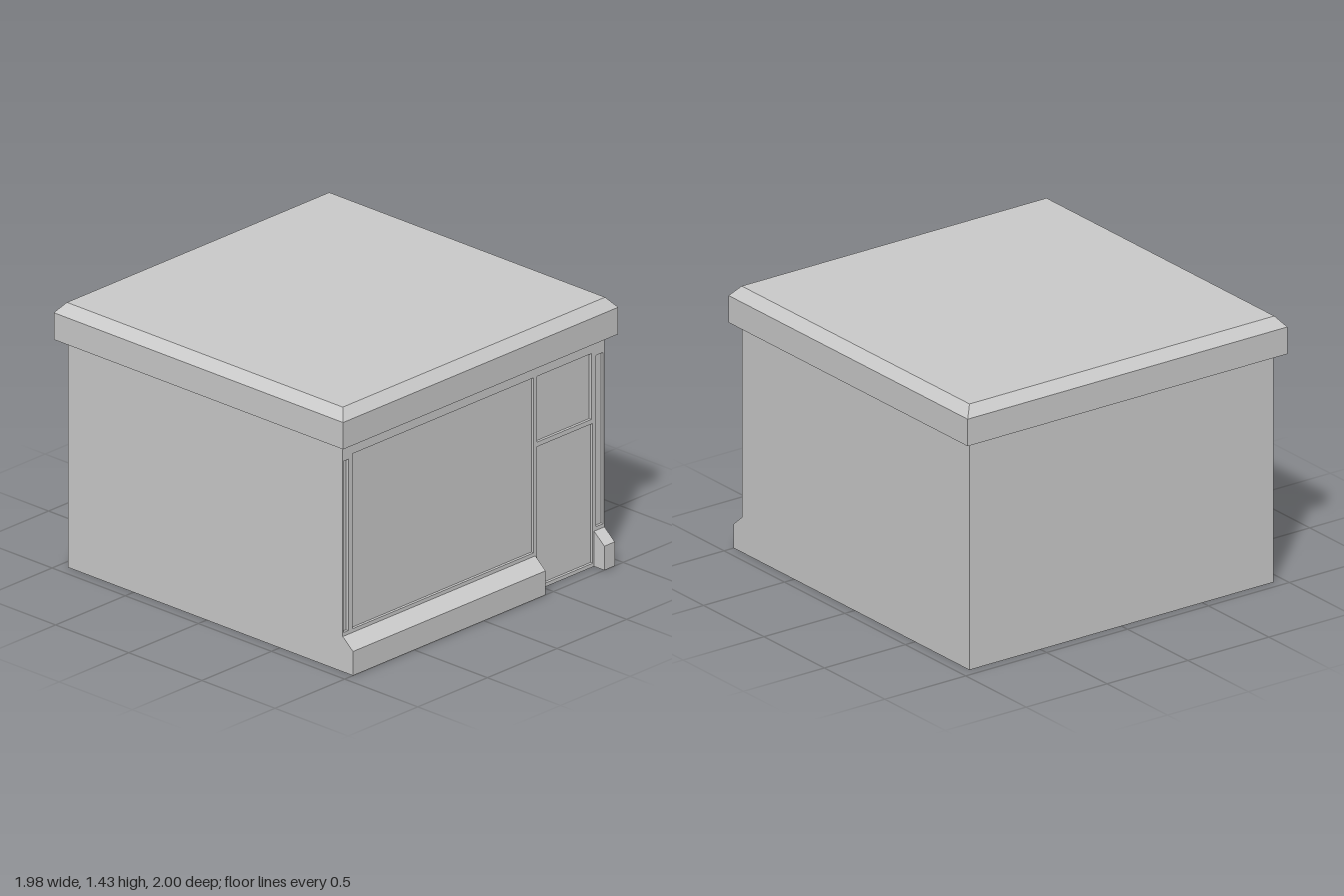
import * as THREE from 'three';

const material = new THREE.MeshStandardMaterial({ color: 0xcccccc, flatShading: true });

// Front wall limits and the recessed openings: name, x0, x1, y0, y1
const SIDE = 0.94, BACK = -0.95, FRONT = 0.93, WALL_TOP = 1.23, RECESS = 0.015;
const OPENINGS = [
  ['shopWindow', -0.87, 0.43, 0.21, 1.155],
  ['transomWindow', 0.455, 0.845, 0.8, 1.155],
  ['door', 0.455, 0.855, 0.02, 0.775],
  ['rightPilasterPanel', -0.935, -0.9, 0.21, 1.135],
  ['leftPilasterPanel', 0.88, 0.93, 0.21, 1.135],
];

function addMesh(group, name, geometry) {
  const mesh = new THREE.Mesh(geometry, material);
  mesh.name = name;
  group.add(mesh);
  return mesh;
}

function box(x0, x1, y0, y1, z0, z1, heightSegments = 1) {
  return new THREE.BoxGeometry(x1 - x0, y1 - y0, z1 - z0, 1, heightSegments, 1)
    .translate((x0 + x1) / 2, (y0 + y1) / 2, (z0 + z1) / 2);
}

function rectangle(Type, x0, x1, y0, y1) {
  return new Type([[x0, y0], [x1, y0], [x1, y1], [x0, y1]].map(([x, y]) => new THREE.Vector2(x, y)));
}

// Slab with its top edge bevelled all round
function roofGeometry() {
  const geometry = box(-0.988, 0.988, 1.23, 1.43, -1, 0.978, 2);
  const p = geometry.attributes.position;
  for (let i = 0; i < p.count; i++) {
    const y = p.getY(i);
    if (y > 1.4) {
      p.setX(i, p.getX(i) - Math.sign(p.getX(i)) * 0.046);
      p.setZ(i, p.getZ(i) - Math.sign(p.getZ(i)) * 0.046);
    } else if (y > 1.3) p.setY(i, 1.375);
  }
  geometry.computeVertexNormals();
  return geometry;
}

// Plinth with a sloping top, its profile swept along x
function plinthGeometry(x0, x1) {
  const profile = [[FRONT - 0.01, 0], [1, 0], [1, 0.13], [FRONT, 0.19], [FRONT - 0.01, 0.19]];
  const shape = new THREE.Shape(profile.map(([z, y]) => new THREE.Vector2(-z, y)));
  return new THREE.ExtrudeGeometry(shape, { depth: x1 - x0, bevelEnabled: false })
    .rotateY(Math.PI / 2).translate(x0, 0, 0);
}

export function createModel() {
  const model = new THREE.Group();
  model.name = 'shopBuilding';

  // Main block and overhanging roof
  const core = FRONT - RECESS - 0.005;
  addMesh(model, 'walls', box(-SIDE, SIDE, 0, WALL_TOP, BACK, core));
  addMesh(model, 'roof', roofGeometry());

  // Shop front with cut openings
  const face = rectangle(THREE.Shape, -SIDE, SIDE, 0, WALL_TOP);
  for (const [, ...r] of OPENINGS) face.holes.push(rectangle(THREE.Path, ...r));
  const frame = new THREE.ExtrudeGeometry(face, { depth: FRONT - core, bevelEnabled: false });
  addMesh(model, 'frontFrame', frame.translate(0, 0, core));

  // Recessed panes, door and pilaster panels
  for (const [name, ...r] of OPENINGS) {
    addMesh(model, name, box(...r, core - 0.005, FRONT - RECESS));
  }

  // Plinths on either side of the door
  addMesh(model, 'windowPlinth', plinthGeometry(-SIDE, 0.443));
  addMesh(model, 'pilasterPlinth', plinthGeometry(0.865, SIDE));
  return model;
}
